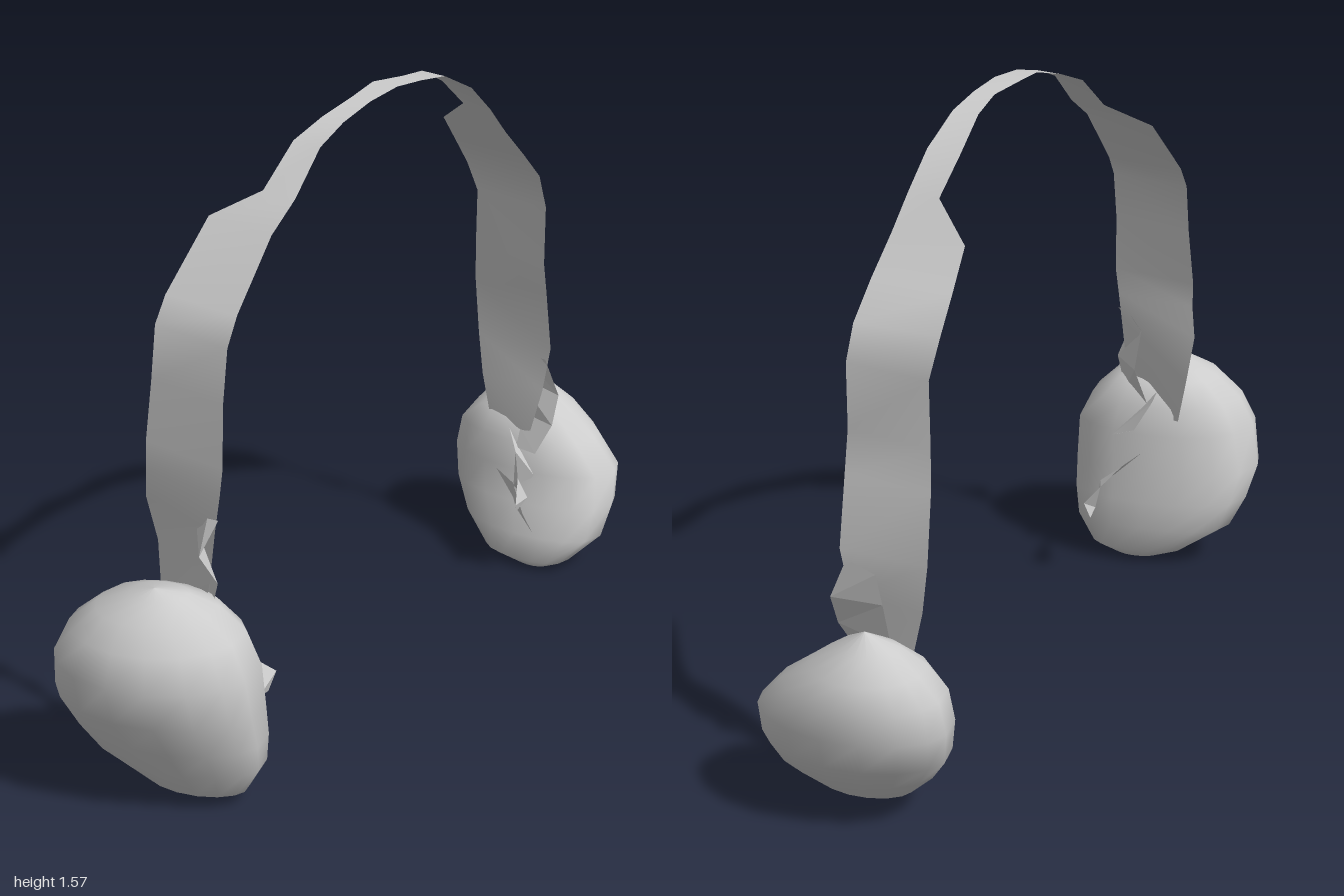
import * as THREE from 'three';

const SIDES = 16;

// Grid surface from rows of points; closed rows wrap around, flat gives faceted shading
function surface(rows, closed, flat) {
  const n = rows[0].length, idx = [];
  for (let i = 0; i < rows.length - 1; i++) {
    for (let j = 0; j < (closed ? n : n - 1); j++) {
      const k = (j + 1) % n;
      const a = i * n + j, b = i * n + k, c = a + n, d = b + n;
      idx.push(a, c, b, b, c, d);
    }
  }
  let g = new THREE.BufferGeometry();
  g.setAttribute('position', new THREE.Float32BufferAttribute(rows.flat(2), 3));
  g.setIndex(idx);
  if (flat) g = g.toNonIndexed();
  g.computeVertexNormals();
  return g;
}

// Cushion from levels [y, xMin, xMax, zMin, zMax], skewed in x along z;
// domed on the outer side (outer = sign of x) and flatter towards the head
function cushion(levels, skew, outer) {
  const rows = levels.map(([y, x0, x1, z0, z1]) => {
    const rz = (z1 - z0) / 2;
    return Array.from({ length: SIDES }, (_, j) => {
      const a = (j / SIDES) * Math.PI * 2;
      const s = Math.sin(a), cos = Math.cos(a);
      const c = Math.sign(cos) * Math.abs(cos) ** (cos * outer > 0 ? 1.12 : 0.7);
      return [(x0 + x1) / 2 + c * (x1 - x0) / 2 + skew * s * rz / 0.24, y, (z0 + z1) / 2 + s * rz];
    });
  });
  return surface(rows, true, false);
}

export function createModel() {
  const group = new THREE.Group();
  const grey = new THREE.MeshStandardMaterial({ color: 0xcccccc, side: THREE.DoubleSide });
  const add = (name, geometry) => {
    const mesh = new THREE.Mesh(geometry, grey);
    mesh.name = name;
    group.add(mesh);
  };

  // Headband: [x, y, front z, back z, x shift of the back edge]
  const band = [
    [-0.70, 0.46, 0.05, -0.09, 0.02], [-0.72, 0.60, 0.09, -0.13, 0.08],
    [-0.71, 0.72, 0.10, -0.14, 0.045], [-0.69, 0.80, 0.10, -0.125, 0.01],
    [-0.69, 0.87, 0.11, -0.13, 0.02], [-0.67, 1.02, 0.10, -0.12, 0.015],
    [-0.65, 1.15, 0.10, -0.12, 0.015],
    [-0.60, 1.21, 0.09, -0.12, 0.005], [-0.47, 1.36, 0.09, -0.105, 0.02],
    [-0.38, 1.42, 0.09, -0.005, 0.005], [-0.27, 1.51, 0.08, 0, 0.005],
    [-0.18, 1.545, 0.08, 0.015, 0.005], [-0.08, 1.57, 0.085, 0.03, 0],
    [0.03, 1.578, 0.085, 0.015, 0], [0.13, 1.568, 0.085, 0.028, 0.005],
    [0.24, 1.55, 0.08, 0.01, 0.005], [0.36, 1.49, 0.08, -0.01, 0.005],
    [0.45, 1.41, 0.08, -0.005, 0.005], [0.515, 1.335, 0.085, -0.11, 0.01],
    [0.60, 1.25, 0.09, -0.12, 0], [0.68, 1.17, 0.09, -0.125, -0.015],
    [0.70, 1.08, 0.10, -0.12, 0.01], [0.70, 0.92, 0.10, -0.125, 0.015],
    [0.735, 0.82, 0.09, -0.13, -0.01], [0.765, 0.65, 0.09, -0.135, -0.01],
    [0.745, 0.53, 0.08, -0.12, 0.01], [0.735, 0.40, 0.05, -0.09, 0.02],
  ];
  add('headband', surface(band.map(([x, y, zf, zb, dx]) => [[x, y, zf], [x + dx, y, zb]]), false, false));

  // Ear cushions, closed to a point at both ends
  add('rightEarCushion', cushion([
    [0.018, -0.72, -0.72, 0.04, 0.04],
    [0.025, -0.765, -0.68, -0.02, 0.10], [0.05, -0.805, -0.66, -0.09, 0.17],
    [0.13, -0.865, -0.645, -0.205, 0.22], [0.21, -0.915, -0.645, -0.24, 0.235],
    [0.30, -0.965, -0.65, -0.26, 0.24], [0.41, -1.0, -0.655, -0.235, 0.24],
    [0.49, -0.97, -0.665, -0.20, 0.20], [0.55, -0.935, -0.70, -0.13, 0.14],
    [0.59, -0.88, -0.77, -0.04, 0.09], [0.605, -0.835, -0.835, 0.02, 0.02],
  ], 0.04, -1));
  add('leftEarCushion', cushion([
    [0.012, 0.735, 0.735, 0.08, 0.08],
    [0.016, 0.695, 0.775, 0.03, 0.13], [0.04, 0.67, 0.815, -0.07, 0.18],
    [0.12, 0.665, 0.90, -0.15, 0.255], [0.20, 0.695, 0.965, -0.21, 0.26],
    [0.29, 0.71, 1.0, -0.23, 0.25], [0.37, 0.72, 0.995, -0.215, 0.18],
    [0.43, 0.75, 0.98, -0.17, 0.10], [0.48, 0.81, 0.93, -0.12, 0.03],
    [0.52, 0.875, 0.875, -0.04, -0.04],
  ], 0.01, 1));

  // Crumpled folds where the band meets the cushions
  const folds = {
    rightHinge: [
      [[-0.71, 0.75, 0.11], [-0.70, 0.74, 0.07]], [[-0.77, 0.68, 0.10], [-0.69, 0.70, 0.03]],
      [[-0.73, 0.60, 0.12], [-0.65, 0.60, 0.03]], [[-0.72, 0.51, 0.09], [-0.67, 0.50, 0.0]],
    ],
    rightUpperFold: [
      [[-0.69, 0.53, -0.02], [-0.67, 0.40, 0.10]], [[-0.64, 0.52, -0.03], [-0.64, 0.40, 0.09]],
      [[-0.59, 0.45, 0.0], [-0.61, 0.42, 0.06]],
    ],
    rightLowerFold: [
      [[-0.67, 0.37, -0.01], [-0.66, 0.26, 0.10]], [[-0.60, 0.33, 0.04], [-0.61, 0.27, 0.11]],
      [[-0.53, 0.29, 0.07], [-0.56, 0.21, 0.10]], [[-0.49, 0.25, 0.10], [-0.51, 0.20, 0.09]],
    ],
    leftHinge: [
      [[0.755, 0.62, 0.08], [0.775, 0.61, -0.01]], [[0.765, 0.52, 0.12], [0.78, 0.54, -0.03]],
      [[0.735, 0.44, 0.12], [0.78, 0.44, -0.05]], [[0.70, 0.36, 0.09], [0.73, 0.35, -0.04]],
    ],
    leftUpperFold: [
      [[0.74, 0.40, -0.02], [0.72, 0.28, 0.08]], [[0.68, 0.36, 0.04], [0.69, 0.25, 0.03]],
      [[0.63, 0.31, 0.08], [0.65, 0.25, 0.10]], [[0.59, 0.25, 0.10], [0.61, 0.22, 0.09]],
    ],
    leftLowerFold: [
      [[0.72, 0.28, -0.06], [0.71, 0.18, 0.02]], [[0.67, 0.27, 0.04], [0.66, 0.19, 0.07]],
      [[0.61, 0.22, 0.11], [0.63, 0.16, 0.13]],
    ],
  };
  for (const [name, rows] of Object.entries(folds)) add(name, surface(rows, false, true));

  return group;
}
